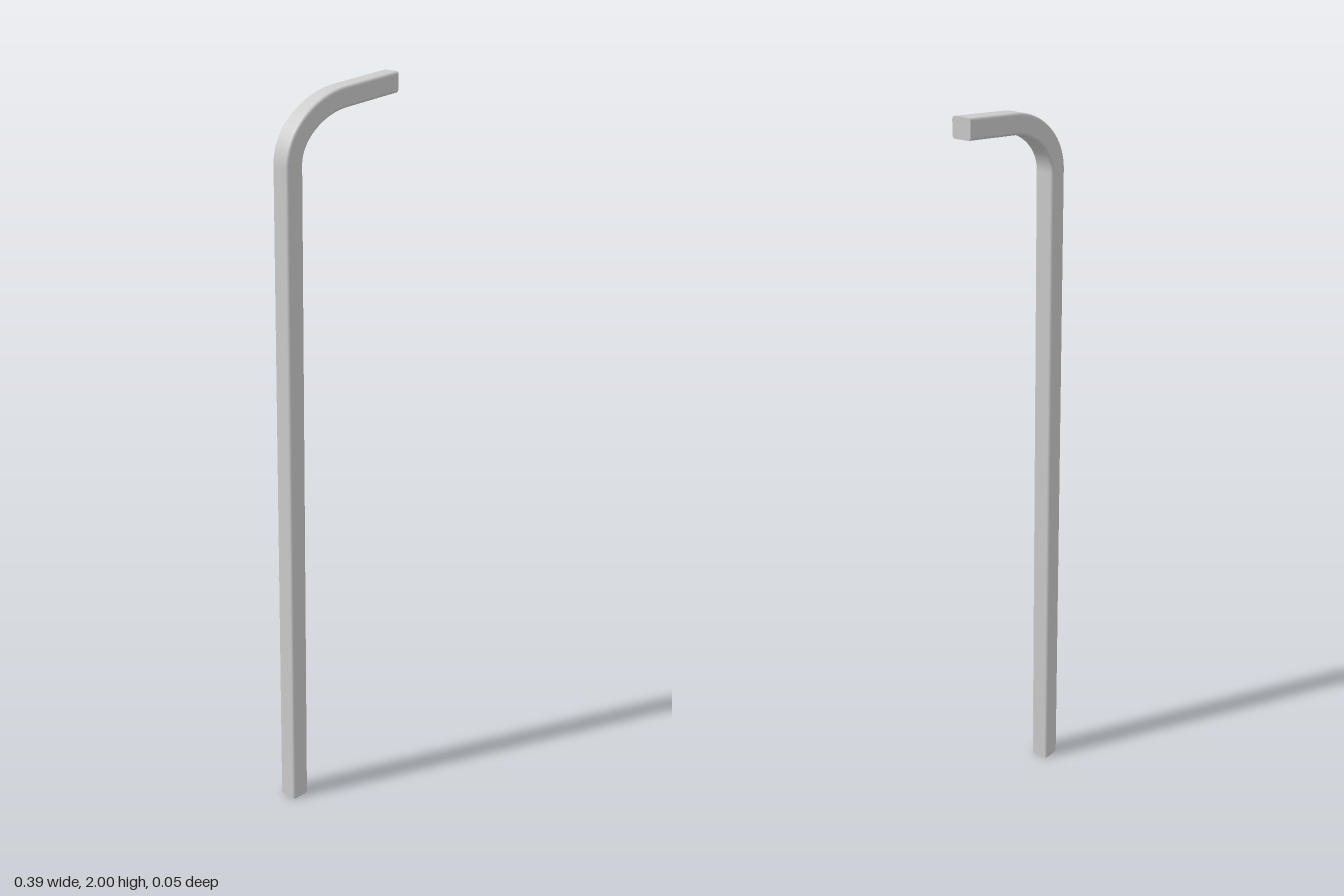
import * as THREE from 'three';

const HALF = 0.0275;  // half thickness of the square bar
const ROUND = 0.008;  // corner radius
const CORNER_STEPS = 4;

// Rounded square section: u lies in the plane of the bend, v along z
function barSection() {
  const points = [];
  const inner = HALF - ROUND;
  for (let q = 0; q < 4; q++) {
    const cu = (q === 0 || q === 3 ? 1 : -1) * inner;
    const cv = (q < 2 ? 1 : -1) * inner;
    for (let s = 0; s <= CORNER_STEPS; s++) {
      const a = (q + s / CORNER_STEPS) * Math.PI / 2;
      const nu = Math.cos(a), nv = Math.sin(a);
      points.push({ u: cu + ROUND * nu, v: cv + ROUND * nv, nu, nv });
    }
  }
  return points;
}

// Sweeps the section along frames of position and in-plane normal, with end caps
function sweep(frames, section) {
  const position = [], normal = [], index = [];
  const count = section.length;
  const addRing = (f, capNormal) => {
    const base = position.length / 3;
    for (const s of section) {
      position.push(f.p.x + s.u * f.n.x, f.p.y + s.u * f.n.y, s.v);
      if (capNormal) normal.push(...capNormal);
      else normal.push(s.nu * f.n.x, s.nu * f.n.y, s.nv);
    }
    return base;
  };

  // Long sides
  frames.forEach((f) => addRing(f));
  for (let i = 0; i < frames.length - 1; i++) {
    for (let j = 0; j < count; j++) {
      const k = (j + 1) % count;
      const a = i * count + j, b = i * count + k;
      index.push(a, b, b + count, a, b + count, a + count);
    }
  }

  // Flat ends
  const start = addRing(frames[0], [0, -1, 0]);
  const end = addRing(frames[frames.length - 1], [1, 0, 0]);
  for (let j = 1; j < count - 1; j++) {
    index.push(start, start + j + 1, start + j);
    index.push(end, end + j, end + j + 1);
  }

  const geometry = new THREE.BufferGeometry();
  geometry.setAttribute('position', new THREE.Float32BufferAttribute(position, 3));
  geometry.setAttribute('normal', new THREE.Float32BufferAttribute(normal, 3));
  geometry.setIndex(index);
  return geometry;
}

export function createModel() {
  const group = new THREE.Group();
  group.name = 'bentBar';

  // Upright post, then the bend, then the slightly rising arm
  const bend = new THREE.CubicBezierCurve(
    new THREE.Vector2(-0.17, 1.8),
    new THREE.Vector2(-0.17, 1.88),
    new THREE.Vector2(-0.08, 1.943),
    new THREE.Vector2(0.01, 1.953)
  );
  const frames = [{ p: new THREE.Vector2(-0.17, 0), n: new THREE.Vector2(-1, 0) }];
  const steps = 28;
  for (let i = 0; i <= steps; i++) {
    const t = bend.getTangent(i / steps);
    frames.push({ p: bend.getPoint(i / steps), n: new THREE.Vector2(-t.y, t.x) });
  }
  // The arm is cut off vertically
  frames.push({ p: new THREE.Vector2(0.197, 1.9725), n: new THREE.Vector2(0, 1) });

  const bar = new THREE.Mesh(
    sweep(frames, barSection()),
    new THREE.MeshStandardMaterial({ color: 0xcccccc })
  );
  bar.name = 'bar';
  group.add(bar);
  return group;
}
